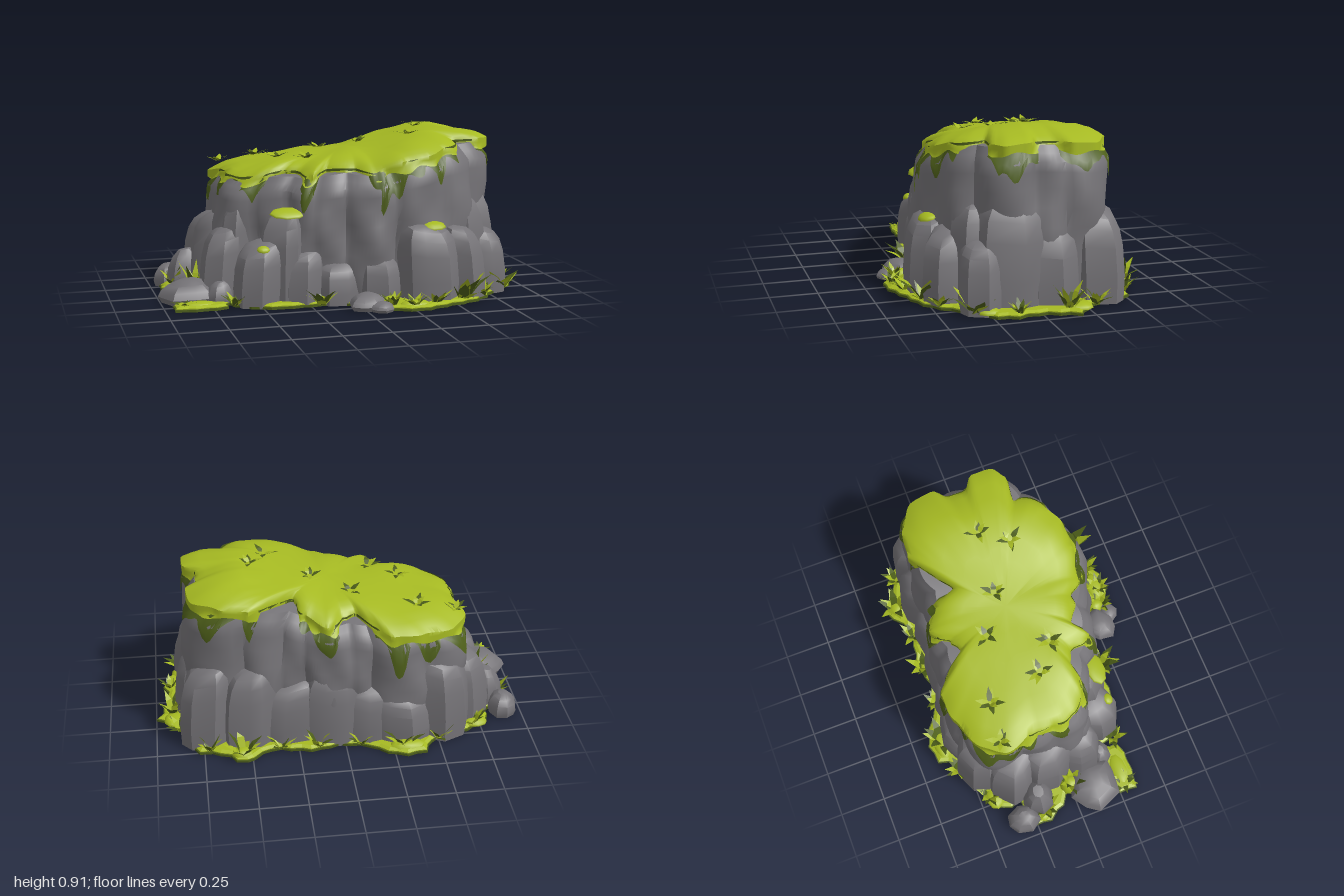
import * as THREE from 'three';
import { toCreasedNormals, mergeGeometries } from 'three/addons/utils/BufferGeometryUtils.js';

const V = (x, y, z) => new THREE.Vector3(x, y, z);
const { smoothstep: smooth, lerp, clamp } = THREE.MathUtils;
const CX = 0.05, CZ = -0.05, TAU = Math.PI * 2;

let seed = 7;
const rnd = () => ((seed = (seed * 16807) % 2147483647) / 2147483647);
const jit = (a) => (rnd() * 2 - 1) * a;

// Skin closed rings, ordered bottom to top
function loft(rows, crease) {
  const n = rows[0].length, pos = rows.flat().flatMap((p) => [p.x, p.y, p.z]), idx = [];
  for (let j = 0; j < rows.length - 1; j++) for (let i = 0; i < n; i++) {
    const k = (i + 1) % n, a = j * n + i, b = a + n, c = j * n + k, d = c + n;
    idx.push(a, b, c, b, d, c);
  }
  const g = new THREE.BufferGeometry();
  g.setAttribute('position', new THREE.Float32BufferAttribute(pos, 3));
  g.setIndex(idx);
  return toCreasedNormals(g, crease);
}

// Height of the sloping plateau
const slope = [[-0.7, 0.7], [-0.2, 0.755], [0.1, 0.785], [0.3, 0.84], [0.5, 0.89], [0.85, 0.88]];
function topY(x, z) {
  let y = x < -0.7 ? 0.7 : 0.88;
  for (let i = 0; i < slope.length - 1; i++) {
    const [x0, y0] = slope[i], [x1, y1] = slope[i + 1];
    if (x >= x0 && x <= x1) y = lerp(y0, y1, (x - x0) / (x1 - x0));
  }
  return y - 0.2 * (z + 0.05) ** 2 + 0.006 * Math.sin(x * 17 + z * 9);
}

// Cliff columns: x, z, radius
const columns = [
  [-0.5, 0.02, 0.16], [-0.34, 0.08, 0.18], [-0.2, 0.18, 0.16], [-0.1, 0.18, 0.19], [0.1, 0.23, 0.2],
  [0.32, 0.25, 0.2], [0.48, 0.21, 0.18], [0.63, 0.09, 0.18], [0.63, -0.08, 0.17], [0.6, -0.23, 0.2],
  [0.42, -0.26, 0.18], [0.23, -0.24, 0.18], [0.06, -0.3, 0.18], [-0.1, -0.3, 0.17], [-0.28, -0.34, 0.19],
  [-0.46, -0.29, 0.19], [-0.5, -0.13, 0.17]];
function cliffR(a) {
  const c = Math.cos(a), s = Math.sin(a);
  let best = 0.25;
  for (const [x, z, r] of columns) {
    const dx = x - CX, dz = z - CZ, t = dx * c + dz * s, h = r * r - (dx * dx + dz * dz - t * t);
    if (h > 0) best = Math.max(best, t + Math.sqrt(h));
  }
  return best;
}
const cliffAt = (a, f) => cliffR(a) - 0.05 * smooth(f, 0.9, 1)
  + Math.sin(Math.PI * f) * (0.022 + 0.018 * Math.sin(a * 8 + f * 5) + 0.01 * Math.sin(a * 13 - f * 11));
const polar = (a, r) => [CX + Math.cos(a) * r, CZ + Math.sin(a) * r];
const ring = (n, fn) => Array.from({ length: n }, (_, i) => fn((i / n) * TAU));

function cliffGeometry() {
  const rows = [0, 0.12, 0.25, 0.38, 0.5, 0.62, 0.74, 0.84, 0.9, 0.95, 1].map((f) => ring(180, (a) => {
    const [x, z] = polar(a, cliffAt(a, f));
    return V(x, (topY(x, z) - 0.065) * f, z);
  }));
  for (const k of [0.8, 0.6, 0.4, 0.2, 0]) rows.push(ring(180, (a) => {
    const [x, z] = polar(a, cliffAt(a, 1) * k);
    return V(x, topY(x, z) - 0.065, z);
  }));
  return loft(rows, 0.7);
}

// Moss cap outline, and hanging drips (x, z, depth, width)
const mossLine = [
  [-.66, -.32], [-.58, -.43], [-.4, -.51], [-.24, -.53], [-.15, -.44], [-.07, -.35], [0, -.37], [.09, -.47],
  [.18, -.4], [.25, -.27], [.37, -.36], [.49, -.44], [.65, -.41], [.78, -.32], [.8, -.19], [.72, -.11],
  [.72, -.03], [.81, .04], [.81, .16], [.74, .21], [.59, .2], [.56, .29], [.43, .4], [.27, .41], [.09, .37],
  [.01, .3], [-.13, .25], [-.22, .32], [-.26, .2], [-.34, .16], [-.4, .18], [-.5, .16], [-.57, .08],
  [-.61, 0], [-.6, -.13]].map(([x, z]) => [Math.atan2(z - CZ, x - CX), Math.hypot(x - CX, z - CZ)])
  .sort((p, q) => p[0] - q[0]);
function mossR(a) {
  const t = a > Math.PI ? a - TAU : a, n = mossLine.length;
  let i = mossLine.findIndex((p) => p[0] > t);
  if (i < 0) i = n;
  const [a0, r0] = mossLine[(i + n - 1) % n], [a1, r1] = mossLine[i % n];
  const span = (a1 - a0 + TAU) % TAU, u = ((t - a0 + TAU) % TAU) / span;
  return lerp(r0, r1, u * 0.3 + smooth(u, 0, 1) * 0.7);
}
const drips = [
  [.1, .39, .18, .06], [.02, .33, .16, .05], [.2, .42, .09, .03], [.45, .4, .07, .04], [.81, .1, .13, .05],
  [.78, .2, .08, .03], [.8, -.25, .09, .04], [.68, -.4, .12, .04], [.5, -.44, .09, .04], [.09, -.47, .12, .04],
  [-.26, -.53, .15, .05], [-.45, -.49, .09, .04], [-.62, -.4, .12, .04], [-.66, -.28, .1, .04],
  [-.58, .07, .12, .06], [-.46, .17, .07, .03], [-.22, .3, .1, .04]];
function mossGeometry(dark) {
  const rim = (a) => {
    const m = mossR(a), R = cliffR(a), w = smooth(m, R - 0.12, R - 0.04), [x, z] = polar(a, m);
    let depth = 0.04 + w * (0.01 + 0.012 * Math.sin(a * 23));
    if (dark) {
      depth += w * 0.025 * (1 + Math.sin(a * 31));
      for (const [dx, dz, d, s] of drips) depth += w * d * Math.exp(-((x - dx) ** 2 + (z - dz) ** 2) / (s * s));
    }
    return { m, w, x, z, depth };
  };
  const rows = [];
  if (!dark) for (const s of [0, 0.2, 0.4, 0.6, 0.75, 0.87, 0.95, 1]) rows.push(ring(260, (a) => {
    const [x, z] = polar(a, mossR(a) * s);
    return V(x, topY(x, z) - 0.045 * s ** 8, z);
  }));
  for (const t of dark ? [0.05, 0.35, 0.7, 1] : [0.4, 0.75, 1]) rows.push(ring(260, (a) => {
    const { m, w, x, z, depth } = rim(a), top = topY(x, z), y = top - 0.045 - depth * t;
    const hug = cliffAt(a, Math.min(1, y / (top - 0.065))) + (dark ? 0.008 : 0.018 - 0.006 * t);
    const [px, pz] = polar(a, m + w * (dark ? hug - m : Math.max(0, hug - m)));
    return V(px, y, pz);
  }));
  return loft(rows.reverse(), 0.9);
}

// Irregular stone; profiles list height fraction and width
const upright = [[0, 1], [0.3, 1.05], [0.65, 1.03], [0.84, 0.95], [0.95, 0.76], [1, 0.45], [1.005, 0]];
const rounded = [[0, 0.92], [0.3, 1.04], [0.6, 0.93], [0.85, 0.68], [1, 0.35], [1.01, 0]];
function boulder(profile, lean, x, z, rx, rz, h) {
  const turn = rnd() * 6, n = 8, angs = [], rad = [];
  for (let i = 0; i < n; i++) {
    angs.push(turn + ((i + jit(0.25)) / n) * TAU);
    rad.push(1 + jit(0.08));
  }
  const out = Math.atan2(z, x);
  return loft(profile.map(([f, s]) => angs.map((a, i) => {
    const k = 1 - lean * f * f, tilt = 1 - 0.09 * s * Math.cos(a - out);
    return V(x * k + Math.cos(a) * rad[i] * rx * s, h * f * tilt, z * k + Math.sin(a) * rad[i] * rz * s);
  })), 0.62);
}

// Fan of pointed, bent grass blades
function tuft(x, y, z, r, h, n) {
  const pos = [];
  for (let i = 0; i < n; i++) {
    const a = ((i + jit(0.4)) / n) * TAU, c = Math.cos(a), s = Math.sin(a);
    const L = r * (0.7 + rnd() * 0.5), H = h * (0.45 + rnd() * 0.6), w = r * 0.2;
    const at = (d, side, up) => [x + c * d - s * side, y + up, z + s * d + c * side];
    const b0 = at(0.1 * L, -w, 0), b1 = at(0.1 * L, w, 0), m0 = at(0.5 * L, -w, H * 0.6), m1 = at(0.5 * L, w, H * 0.6);
    pos.push(...b0, ...b1, ...m0, ...m0, ...b1, ...m1, ...m0, ...m1, ...at(L, 0, H));
  }
  const g = new THREE.BufferGeometry();
  g.setAttribute('position', new THREE.Float32BufferAttribute(pos, 3));
  g.computeVertexNormals();
  return g;
}

// Jagged ground plate
const groundLine = [
  [-.8, -.4], [-.66, -.48], [-.45, -.56], [-.43, -.63], [-.31, -.66], [-.2, -.62], [-.12, -.56], [.03, -.53],
  [.17, -.56], [.4, -.53], [.54, -.62], [.65, -.54], [.8, -.49], [.83, -.35], [.93, -.22], [.99, -.19],
  [.96, -.1], [.93, .03], [.95, .14], [.9, .27], [.81, .32], [.75, .41], [.62, .53], [.46, .59], [.26, .65],
  [.11, .59], [.03, .5], [-.13, .42], [-.45, .42], [-.61, .34], [-.67, .25], [-.68, .34], [-.84, .36],
  [-.95, .34], [-.94, .24], [-.8, .13], [-.8, .02], [-.9, -.08], [-.96, -.21], [-.92, -.29], [-.8, -.29]];
function groundGeometry(options) {
  const pts = new THREE.CatmullRomCurve3(groundLine.map(([x, z]) => V(x, 0, z)), true).getSpacedPoints(110);
  const shape = new THREE.Shape(pts.slice(0, 110).map((p, i) => {
    const s = 1 + 0.01 * (i % 2 ? 1 : -1);
    return new THREE.Vector2(clamp(p.x * s, -0.97, 1), -p.z * s);
  }));
  return new THREE.ExtrudeGeometry(shape, options).rotateX(-Math.PI / 2);
}

export function createModel() {
  const group = new THREE.Group();
  const mat = (name, color, side = THREE.DoubleSide) => {
    const m = new THREE.MeshStandardMaterial({ color, side });
    m.name = name;
    return m;
  };
  const stone = mat('grey stone', 0x757377, THREE.FrontSide);
  const moss = mat('bright moss', 0xa6ba22);
  const darkMoss = mat('dark moss', 0x4e5f1a);
  const add = (name, geos, m) => {
    const mesh = new THREE.Mesh(mergeGeometries(geos), m);
    mesh.name = name;
    group.add(mesh);
  };

  add('groundUnderside', [groundGeometry({ depth: 0.012, bevelEnabled: false })], darkMoss);
  add('groundMoss', [groundGeometry({ depth: 0.004, bevelThickness: 0.009, bevelSize: 0.018, bevelOffset: -0.024,
    bevelSegments: 1 }).translate(0, 0.014, 0)], moss);
  add('cliff', [cliffGeometry()], stone);
  add('mossCap', [mossGeometry(false)], moss);
  add('mossDrips', [mossGeometry(true)], darkMoss);

  // Lower stones leaning on the cliff: x, z, rx, rz, height
  const lower = [
    [-.51, .27, .12, .13, .33], [-.36, .24, .13, .13, .5], [-.27, .32, .11, .09, .3], [-.08, .34, .14, .1, .23],
    [.12, .4, .12, .1, .26], [.37, .45, .165, .12, .42], [.6, .39, .11, .13, .39], [.64, .26, .12, .13, .56],
    [.76, .27, .12, .12, .36], [.74, .09, .14, .18, .58], [.78, -.1, .11, .13, .44], [.73, -.36, .14, .14, .48],
    [.5, -.43, .15, .1, .47], [.28, -.42, .14, .1, .36], [.06, -.45, .15, .09, .43], [-.14, -.46, .12, .09, .34],
    [-.32, -.49, .15, .09, .29], [-.53, -.44, .14, .12, .47], [-.68, -.29, .12, .14, .42], [-.69, -.1, .12, .15, .44],
    [-.58, .07, .11, .12, .58], [-.67, .1, .12, .12, .4]];
  add('lowerStones', lower.map((b) => boulder(upright, 0.05, ...b)), stone);

  // Loose stones on the ground
  const loose = [[-.85, .12, .145, .14, .12], [-.9, -.31, .075, .09, .12], [-.82, -.2, .1, .09, .22],
    [.02, .52, .1, .09, .08], [.08, .6, .06, .05, .05], [-.7, .22, .07, .06, .12]];
  add('looseStones', loose.map((b) => boulder(rounded, 0, ...b)), stone);

  // Moss pads on ledges and ground: position, half sizes, forward tilt
  const pads = [[-.35, .48, .31, .1, .022, .06, .35], [.4, .4, .45, .07, .025, .05, .25],
    [-.49, .3, .34, .035, .02, .03, .4], [.14, .015, .54, .05, .05, .05, 0], [-.8, .015, 0, .06, .08, .06, 0],
    [-.88, .015, -.2, .07, .03, .07, 0], [.85, .015, .26, .06, .03, .06, 0], [-.82, .015, .29, .1, .025, .05, 0],
    [.9, .015, -.2, .06, .03, .07, 0], [-.32, .015, -.59, .1, .035, .05, 0], [.26, .015, .58, .09, .03, .05, 0],
    [.55, .015, -.55, .06, .035, .05, 0], [-.72, .015, -.42, .07, .03, .05, 0]];
  add('mossPads', pads.map(([x, y, z, a, b, c, t]) => new THREE.SphereGeometry(1, 9, 4, 0, TAU, 0, Math.PI / 2)
    .scale(a, b, c).rotateX(t).translate(x, y, z)), moss);

  // Grass on the ground and small sprigs on the plateau, in both greens
  const tufts = [[.55, .51, .14, .15], [.38, .57, .08, .08], [.84, .32, .13, .13], [-.2, .43, .1, .1],
    [.14, .57, .07, .08], [.25, .6, .07, .06], [.92, .12, .06, .08], [.91, -.14, .09, .13], [.87, -.3, .08, .1],
    [.72, -.5, .08, .1], [.55, -.56, .1, .15], [.35, -.52, .08, .08], [.15, -.53, .09, .1], [-.08, -.54, .07, .08],
    [-.3, -.58, .1, .13], [-.5, -.54, .08, .09], [-.7, -.44, .08, .1], [-.88, -.18, .08, .12], [-.8, .01, .08, .2],
    [-.64, .33, .07, .07], [-.9, .29, .07, .03], [.68, .46, .08, .08]];
  const sprigs = [[-.6, -.33], [-.4, -.31], [-.34, -.01], [-.2, .1], [-.06, -.2], [.14, -.08], [.46, -.05], [.37, .1]];
  for (const [shade, m, n] of [['dark', darkMoss, 6], ['bright', moss, 6]]) {
    add(shade + 'GroundGrass', tufts.map(([x, z, r, h]) => tuft(x, 0.015, z, r, h, n)), m);
    add(shade + 'PlateauGrass', sprigs.map(([x, z]) => tuft(x, topY(x, z) - 0.004, z, 0.07, 0.03, n - 2)), m);
  }
  return group;
}
